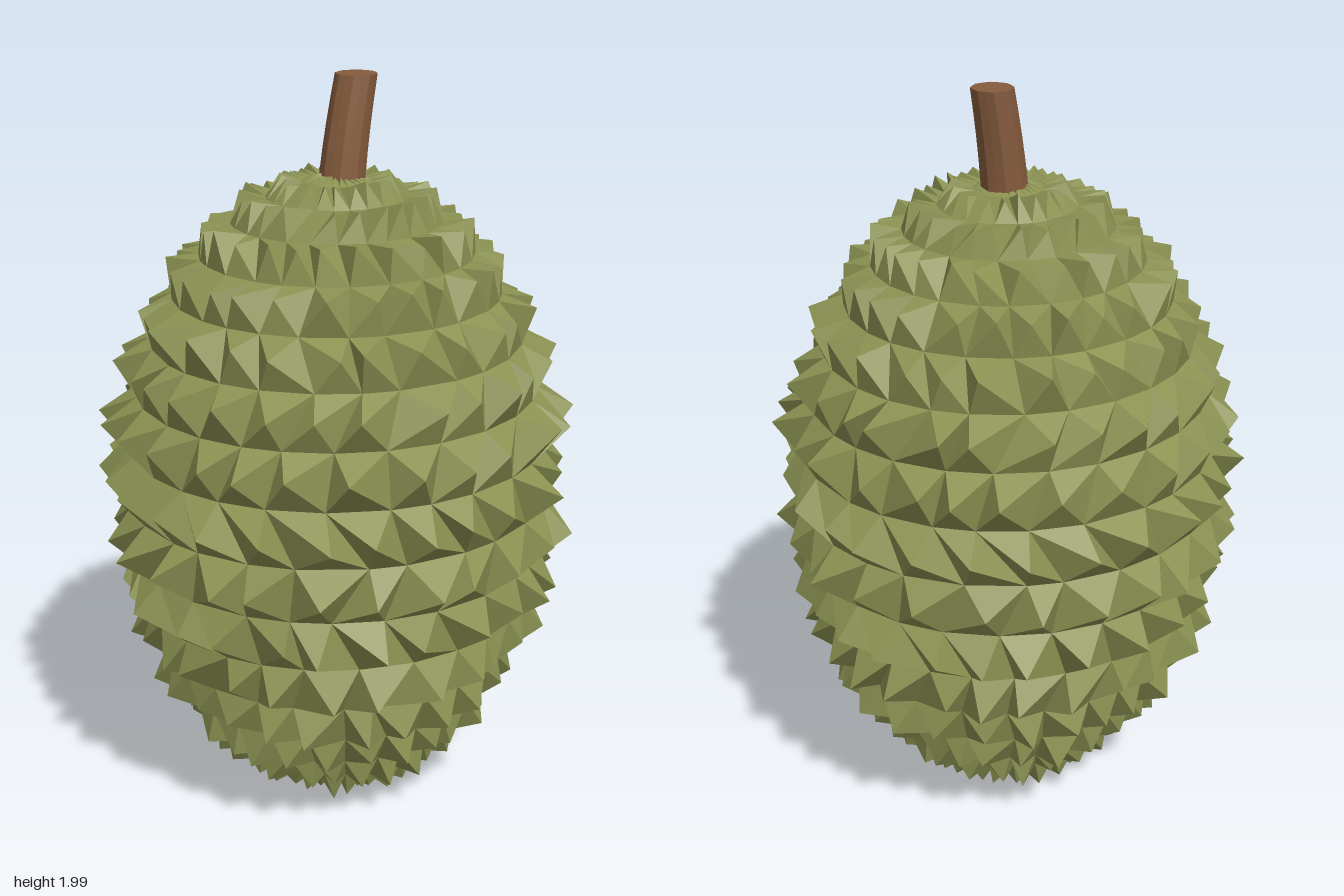
import * as THREE from 'three';

const COLUMNS = 26, ROWS = 18, CENTRE_Y = 0.88, HALF_HEIGHT = 0.864;

// small seeded generator for the uneven spikes
function makeRandom(seed) {
  return () => {
    seed = (seed * 1664525 + 1013904223) % 4294967296;
    return seed / 4294967296;
  };
}

// point on the egg-shaped rind, raised outward by "lift"
function rindPoint(column, row, lift = 0) {
  const angle = (column / COLUMNS) * Math.PI * 2;
  const lat = (row / ROWS - 0.5) * Math.PI;
  const sin = Math.sin(lat), cos = Math.max(Math.cos(lat), 0);
  const r = 0.572 * cos ** 1.06 * (1 + 0.035 * sin) + lift * cos ** 1.5;
  return new THREE.Vector3(
    Math.cos(angle) * r,
    CENTRE_Y + (HALF_HEIGHT + 0.7 * lift) * sin,
    Math.sin(angle) * r * 0.965
  );
}

// every cell of the rind is a skewed four-sided pyramid; the rings between rows are staggered
function rindGeometry() {
  const random = makeRandom(11);
  const spread = (amount) => (random() - 0.5) * amount;
  const rings = Array.from({ length: ROWS + 1 }, () => {
    const shift = spread(0.9);
    const ring = Array.from({ length: COLUMNS }, (_, col) => col + shift + spread(0.4));
    return [...ring, ring[0] + COLUMNS];
  });
  const points = [];
  for (let row = 0; row < ROWS; row++) {
    const fromPole = Math.min(row, ROWS - 1 - row);
    const scale = [0.15, 0.6, 0.9][fromPole] ?? 1;
    const low = rings[row], high = rings[row + 1];
    for (let col = 0; col < COLUMNS; col++) {
      const middle = (low[col] + low[col + 1] + high[col] + high[col + 1]) / 4;
      const lift = scale * (0.05 + 0.045 * random());
      const tip = rindPoint(middle + spread(0.7), row + 0.5 + spread(0.12), lift);
      const corners = [
        rindPoint(low[col], row), rindPoint(high[col], row + 1),
        rindPoint(high[col + 1], row + 1), rindPoint(low[col + 1], row),
      ];
      corners.forEach((corner, i) => {
        const next = corners[(i + 1) % 4];
        if (corner.distanceTo(next) > 1e-4) points.push(corner, next, tip);
      });
    }
  }
  const geometry = new THREE.BufferGeometry().setFromPoints(points);
  geometry.computeVertexNormals();
  return geometry;
}

// ridged stalk that leans toward +x
function stalkGeometry() {
  const sides = 16, bottom = 1.68, top = 2;
  const geometry = new THREE.CylinderGeometry(0.055, 0.062, top - bottom, sides, 5);
  const pos = geometry.attributes.position;
  for (let i = 0; i < pos.count; i++) {
    const x = pos.getX(i), z = pos.getZ(i);
    const t = pos.getY(i) / (top - bottom) + 0.5;
    const side = Math.round((Math.atan2(z, x) / (Math.PI * 2)) * sides);
    const ridge = side % 2 === 0 ? 1 : 0.95;
    pos.setXYZ(i, x * ridge + 0.012 + 0.05 * t ** 1.4, bottom + t * (top - bottom), z * ridge);
  }
  const flat = geometry.toNonIndexed();
  flat.computeVertexNormals();
  return flat;
}

export function createModel() {
  const rindGreen = new THREE.MeshStandardMaterial({ color: 0x8b9252, flatShading: true });
  rindGreen.name = 'rind green';
  const stalkBrown = new THREE.MeshStandardMaterial({ color: 0x865c3e, flatShading: true });
  stalkBrown.name = 'stalk brown';

  const rind = new THREE.Mesh(rindGeometry(), rindGreen);
  rind.name = 'spikyRind';
  const stalk = new THREE.Mesh(stalkGeometry(), stalkBrown);
  stalk.name = 'stalk';

  const model = new THREE.Group();
  model.name = 'spikyFruit';
  model.add(rind, stalk);
  return model;
}
